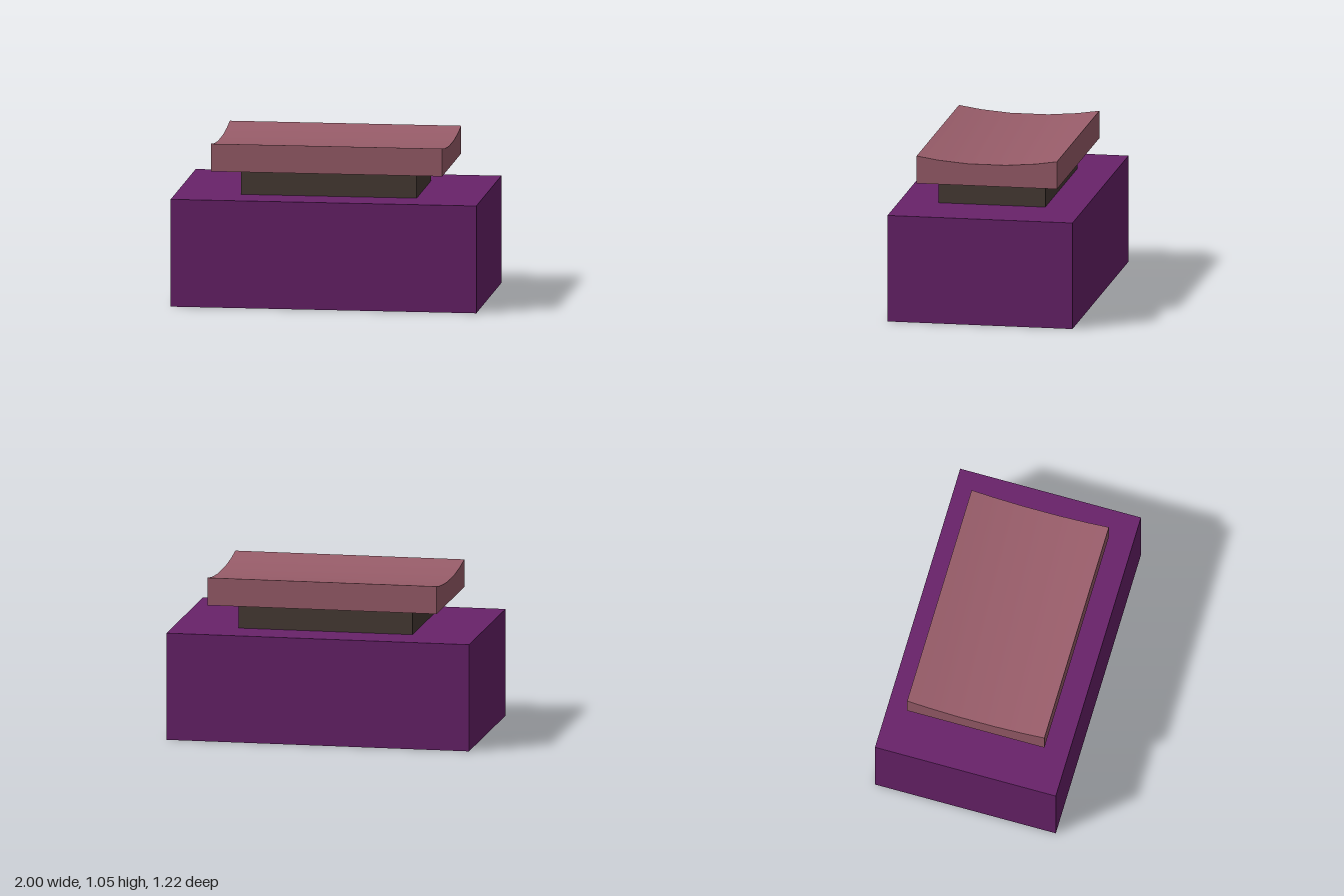
import * as THREE from 'three';
import { toCreasedNormals } from 'three/addons/utils/BufferGeometryUtils.js';

const paint = (name, color) => {
  const m = new THREE.MeshStandardMaterial({ color });
  m.name = name;
  return m;
};

export function createModel() {
  const group = new THREE.Group();
  group.name = 'pedestalSeat';

  const purple = paint('purple', 0x68226a);
  const brown = paint('darkBrown', 0x473b35);
  const pink = paint('dustyPink', 0x995d6a);

  const add = (name, geometry, material) => {
    const mesh = new THREE.Mesh(geometry, material);
    mesh.name = name;
    group.add(mesh);
  };

  // Upright block standing between two heights
  const block = (width, depth, bottom, top) =>
    new THREE.BoxGeometry(width, top - bottom, depth).translate(0, (bottom + top) / 2, 0);

  add('base', block(2, 1.22, 0, 0.705), purple);
  add('neck', block(1.15, 0.704, 0.705, 0.87), brown);

  // Slab with a shallow hollow across its top, drawn in side profile
  const half = [[0.463, 1.052], [0.318, 1.03], [0.125, 1.014]];
  const profile = [
    [-0.463, 0.87], [0.463, 0.87],
    ...half,
    ...half.map(([z, y]) => [-z, y]).reverse(),
  ];
  const shape = new THREE.Shape(profile.map(([z, y]) => new THREE.Vector2(z, y)));
  const slab = new THREE.ExtrudeGeometry(shape, { depth: 1.514, bevelEnabled: false });
  slab.translate(0, 0, -0.757).rotateY(Math.PI / 2);
  add('hollowedSlab', toCreasedNormals(slab, 0.5), pink);

  return group;
}
